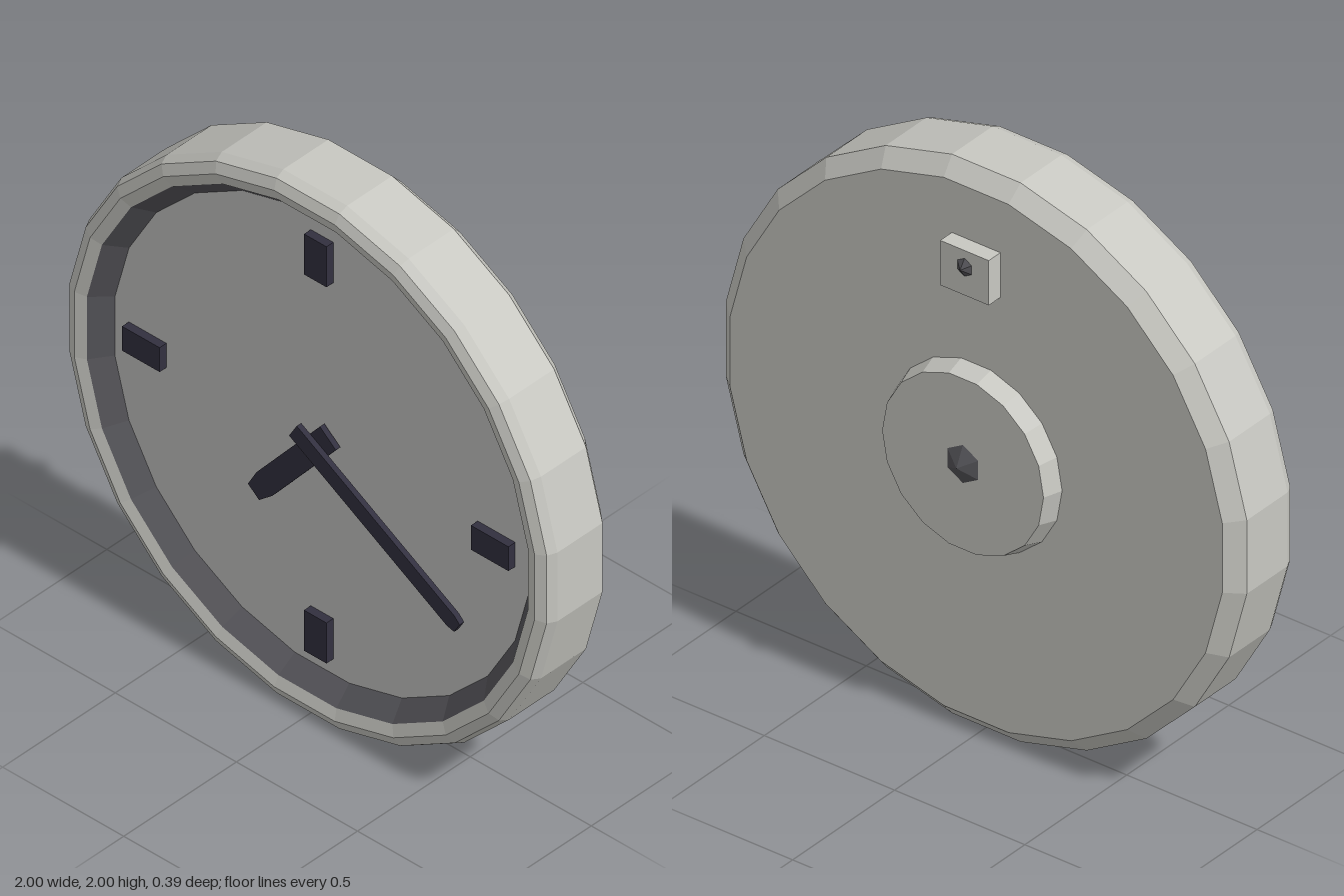
import * as THREE from 'three';

const mat = (name, color) => {
  const m = new THREE.MeshStandardMaterial({ color, flatShading: true });
  m.name = name;
  return m;
};

export function createModel() {
  const body = mat('warm grey casing', 0xc8c8c2);
  const dial = mat('grey dial', 0xc5c5c3);
  const lining = mat('dark grey lining', 0x555459);
  const ink = mat('dark violet hands', 0x32303f);

  const clock = new THREE.Group();
  clock.name = 'wallClock';
  const centre = new THREE.Group();
  centre.name = 'clockParts';
  centre.position.y = 1;
  clock.add(centre);

  const add = (name, geometry, material, x = 0, y = 0, z = 0) => {
    const mesh = new THREE.Mesh(geometry, material);
    mesh.name = name;
    mesh.position.set(x, y, z);
    centre.add(mesh);
    return mesh;
  };

  // Faceted ring about z; profile is [flat radius, z] running from back to front
  const turned = (profile, sides) => {
    const k = 1 / Math.cos(Math.PI / sides);
    const pts = profile.map(([r, z]) => new THREE.Vector2(r * k, z));
    return new THREE.LatheGeometry(pts, sides, Math.PI / sides).rotateX(Math.PI / 2);
  };

  // Casing with bevelled edges, recessed lining and dial
  add('casing', turned([[0, -0.1], [0.945, -0.1], [1, -0.05], [1, 0.15],
    [0.985, 0.182], [0.95, 0.198], [0.91, 0.185]], 24), body);
  add('lining', turned([[0.91, 0.185], [0.855, 0.12]], 24), lining);
  add('dial', turned([[0.855, 0.12], [0, 0.12]], 24), dial);

  // Quarter-hour markers
  for (let i = 0; i < 4; i++) {
    const a = i * Math.PI / 2;
    const marker = add('hourMarker', new THREE.BoxGeometry(0.155, 0.093, 0.03), ink,
      0.72 * Math.cos(a), 0.72 * Math.sin(a), 0.135);
    marker.rotation.z = a;
  }

  // Tapered hand from its tail point to its tip point
  const hand = (name, tail, tip, width, tipWidth, taper, z) => {
    const dx = tip[0] - tail[0], dy = tip[1] - tail[1];
    const len = Math.hypot(dx, dy), w = width / 2, t = tipWidth / 2;
    const shape = new THREE.Shape([[0, -w], [len - taper, -w], [len, -t],
      [len, t], [len - taper, w], [0, w]].map(p => new THREE.Vector2(...p)));
    const geo = new THREE.ExtrudeGeometry(shape, { depth: 0.02, bevelEnabled: false });
    add(name, geo, ink, tail[0], tail[1], z).rotation.z = Math.atan2(dy, dx);
  };
  hand('hourHand', [0.052, 0.067], [-0.255, -0.3], 0.086, 0.06, 0.07, 0.13);
  hand('minuteHand', [-0.072, 0.043], [0.605, -0.355], 0.062, 0.045, 0.03, 0.152);
  add('handSpindle', new THREE.CylinderGeometry(0.025, 0.025, 0.05, 8).rotateX(Math.PI / 2),
    ink, 0, 0, 0.14);

  // Rear movement housing and hanging block, each with a pointed hexagonal stud
  add('movementHousing', turned([[0, -0.165], [0.305, -0.165], [0.325, -0.1]], 18), body);
  add('hangingBlock', new THREE.BoxGeometry(0.186, 0.16, 0.06), body, 0, 0.68, -0.127);
  const stud = (name, r, h, y, z) =>
    add(name, new THREE.ConeGeometry(r, h, 6).rotateX(-Math.PI / 2), lining, 0, y, z - h / 2);
  stud('housingStud', 0.068, 0.032, 0, -0.165);
  stud('hangingStud', 0.032, 0.022, 0.7, -0.157);

  return clock;
}
